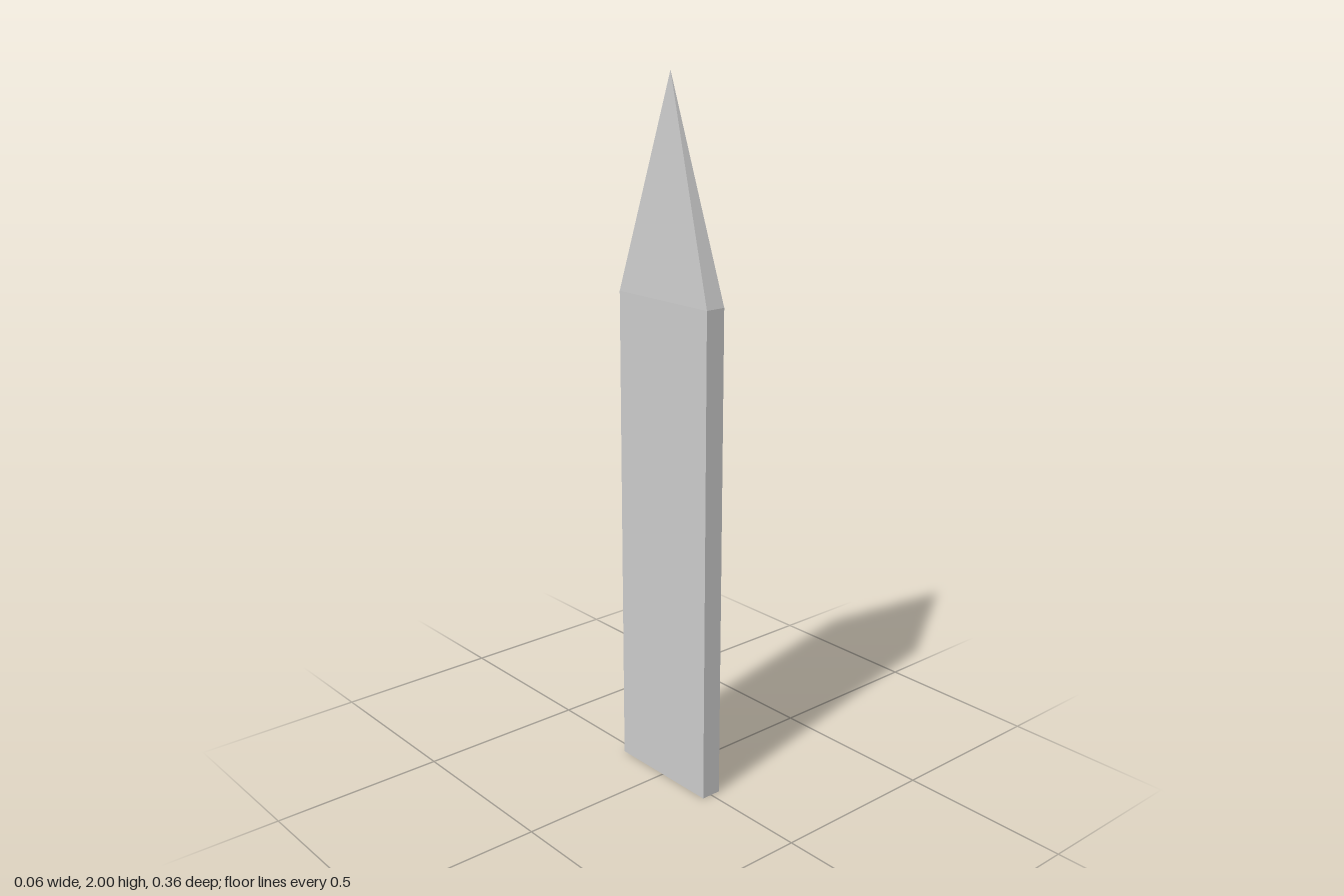
import * as THREE from 'three';

const HALF_X = 0.03, HALF_Z = 0.178, SHOULDER = 1.41, TOP = 2;

export function createModel() {
  const group = new THREE.Group();
  group.name = 'picket';
  const material = new THREE.MeshStandardMaterial({ color: 0xcccccc, flatShading: true });
  const R = Math.SQRT2; // four-sided radius whose flats lie at +-1
  const turn = Math.PI / 4;

  // Every part is a square section squashed to the plank's thin rectangle
  const add = (name, geometry, y) => {
    geometry.scale(HALF_X, 1, HALF_Z).translate(0, y, 0);
    const mesh = new THREE.Mesh(geometry, material);
    mesh.name = name;
    group.add(mesh);
  };

  // Straight plank sides
  add('plank', new THREE.CylinderGeometry(R, R, SHOULDER, 4, 1, true, turn), SHOULDER / 2);
  // Four-sided point
  const tipHeight = TOP - SHOULDER;
  add('point', new THREE.ConeGeometry(R, tipHeight, 4, 1, true, turn), SHOULDER + tipHeight / 2);
  // Flat underside
  add('base', new THREE.CircleGeometry(R, 4, turn).rotateX(Math.PI / 2), 0);

  return group;
}
